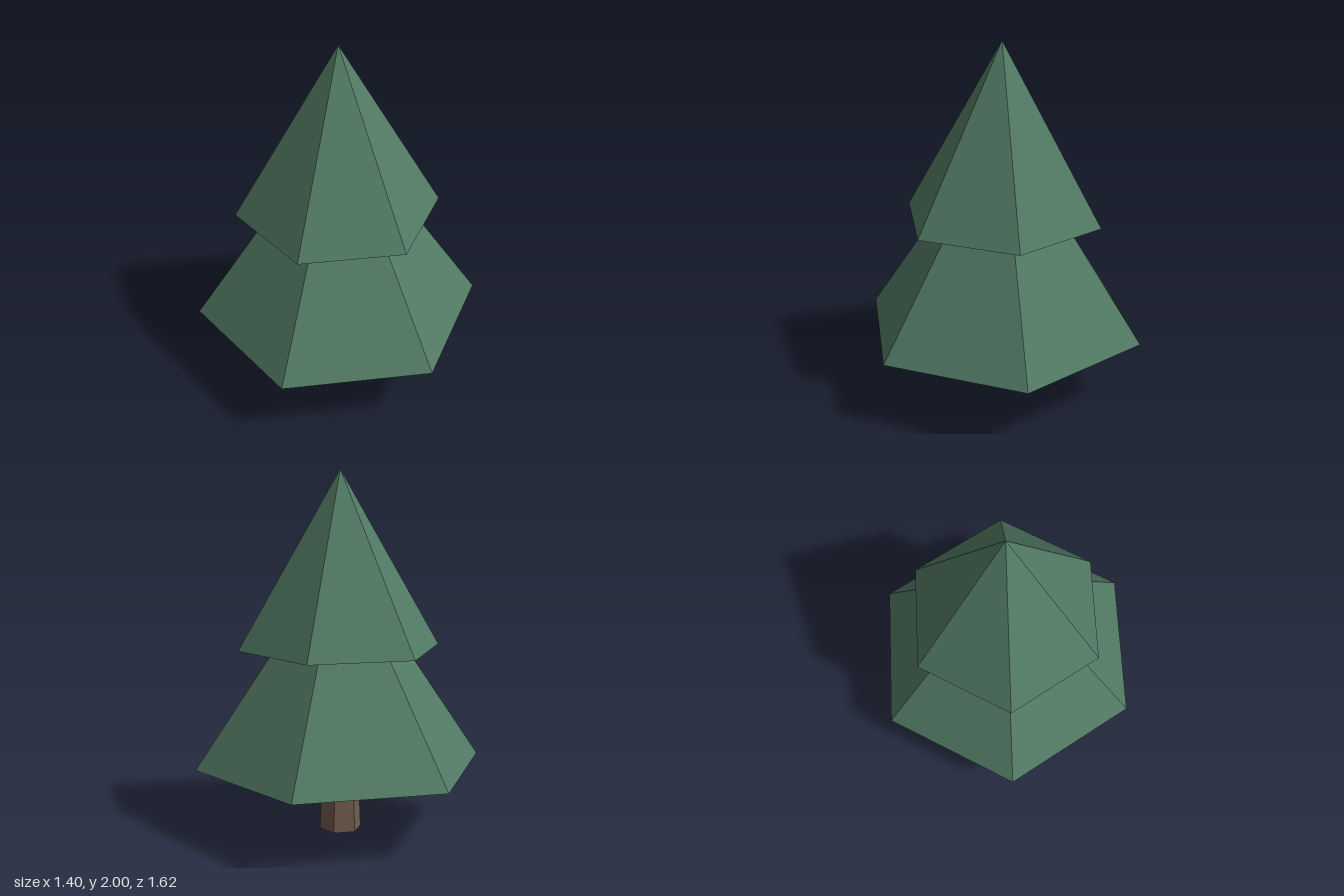
import * as THREE from 'three';

export function createModel() {
  const tree = new THREE.Group();
  tree.name = 'pineTree';

  const foliage = new THREE.MeshStandardMaterial({ color: 0x527a64, flatShading: true });
  foliage.name = 'foliage green';
  const bark = new THREE.MeshStandardMaterial({ color: 0x705b4b, flatShading: true });
  bark.name = 'bark brown';

  // Six-sided part standing on baseY, with a corner towards the front
  function addPart(name, geometry, height, baseY, material) {
    geometry.translate(0, baseY + height / 2, 0);
    const mesh = new THREE.Mesh(geometry, material);
    mesh.name = name;
    tree.add(mesh);
  }

  // Slightly tapered trunk, its top just inside the foliage
  addPart('trunk', new THREE.CylinderGeometry(0.102, 0.118, 0.4, 6), 0.4, 0, bark);

  // Two stacked tiers of branches
  const tiers = [
    { name: 'lowerFoliage', radius: 0.808, height: 1.19, y: 0.383 },
    { name: 'upperFoliage', radius: 0.565, height: 0.968, y: 1.032 },
  ];
  for (const { name, radius, height, y } of tiers) {
    addPart(name, new THREE.ConeGeometry(radius, height, 6), height, y, foliage);
  }
  return tree;
}
